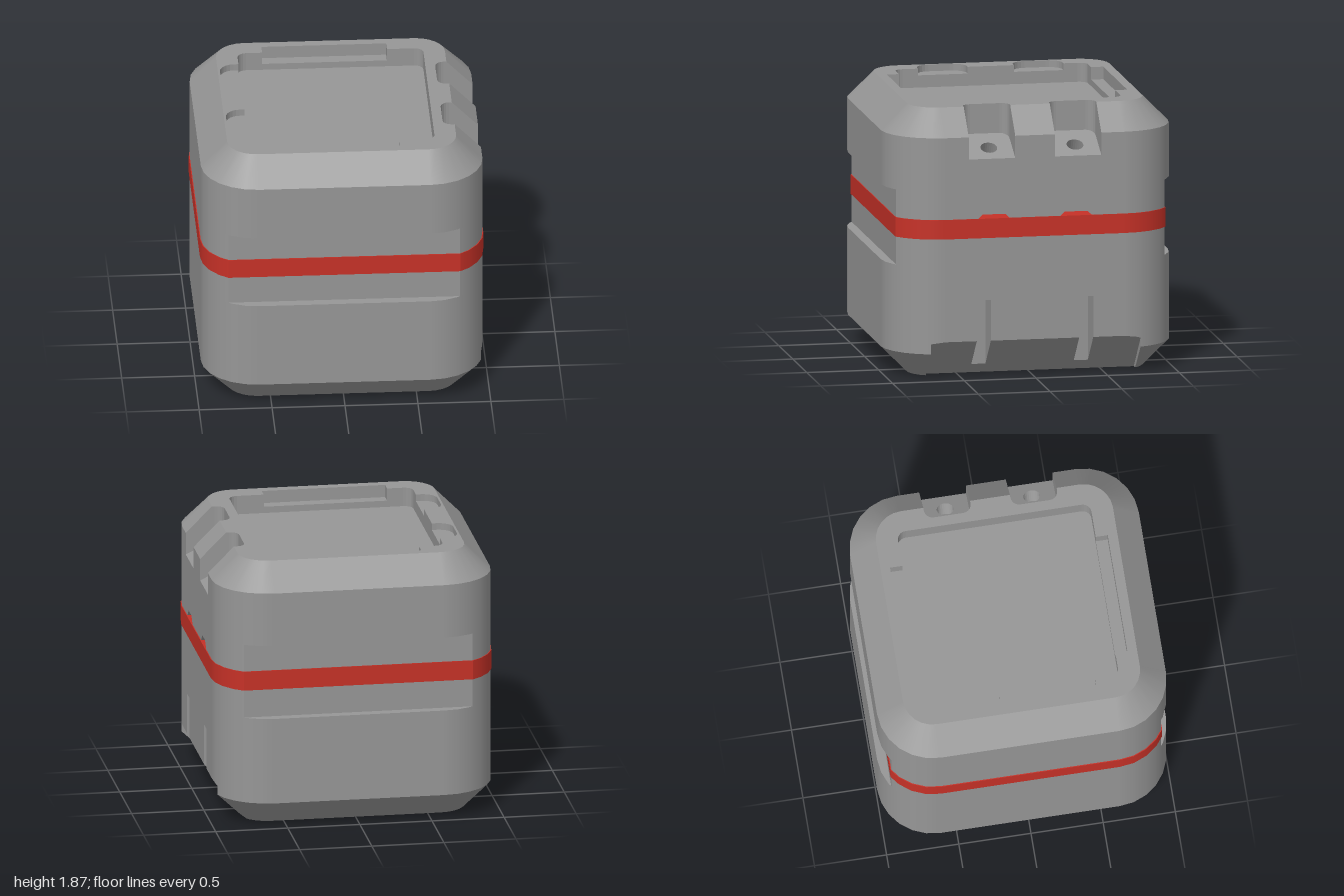
import * as THREE from 'three';

const V = (x, y, z) => new THREE.Vector3(x, y, z);
const EPS = 1e-6;

// Rounded rectangle in the ground plane, as [x, z] points.
function outline(hx, hz, r, seg = 6, cx = 0, cz = 0) {
  const pts = [];
  for (let q = 0; q < 4; q++) {
    const sx = q === 0 || q === 3 ? 1 : -1, sz = q < 2 ? 1 : -1;
    for (let i = 0; i <= seg; i++) {
      const a = (q + i / seg) * Math.PI / 2;
      pts.push([cx + sx * (hx - r) + r * Math.cos(a), cz + sz * (hz - r) + r * Math.sin(a)]);
    }
  }
  return pts;
}

// Lift an outline to a height, which may depend on x.
const ring = (pts, y) => pts.map(([x, z]) => V(x, typeof y === 'function' ? y(x) : y, z));

// Convex solid through matching rings; every face points outwards.
// core = half sizes of the corner-centre rectangle, used for smooth corner normals.
function loft(rings, core = null) {
  const all = rings.flat();
  const mid = all.reduce((s, p) => s.add(p), V(0, 0, 0)).divideScalar(all.length);
  const loops = [rings[0], rings[rings.length - 1]];
  for (let k = 0; k + 1 < rings.length; k++) {
    const a = rings[k], b = rings[k + 1];
    a.forEach((p, i) => {
      const j = (i + 1) % a.length;
      loops.push([p, a[j], b[j], b[i]]);
    });
  }
  return loops.map((loop) => {
    const v = loop.slice();
    const n = v[1].clone().sub(v[0]).cross(v[2].clone().sub(v[0])).normalize();
    if (n.dot(v[0].clone().sub(mid)) < 0) { n.negate(); v.reverse(); }
    return { v, n, w: n.dot(v[0]), core };
  });
}

const prism = (pts, y0, y1) => loft([ring(pts, y0), ring(pts, y1)]);
function box(x0, x1, y0, y1, z0, z1) {
  return prism([[x0, z0], [x1, z0], [x1, z1], [x0, z1]], y0, y1);
}

// Split a face by a plane into [outside, inside].
function split(f, plane) {
  const d = f.v.map((p) => plane.n.dot(p) - plane.w);
  if (d.every((t) => t <= EPS)) return [null, f];
  if (d.every((t) => t >= -EPS)) return [f, null];
  const out = [], inn = [];
  f.v.forEach((p, i) => {
    const j = (i + 1) % f.v.length;
    if (d[i] >= -EPS) out.push(p);
    if (d[i] <= EPS) inn.push(p);
    if ((d[i] > EPS && d[j] < -EPS) || (d[i] < -EPS && d[j] > EPS)) {
      const m = p.clone().lerp(f.v[j], d[i] / (d[i] - d[j]));
      out.push(m);
      inn.push(m);
    }
  });
  return [{ ...f, v: out }, { ...f, v: inn }];
}

// Parts of a face outside or inside a convex solid.
function cut(face, solid) {
  const outside = [];
  let rest = face;
  for (const plane of solid) {
    const [o, i] = split(rest, plane);
    if (o) outside.push(o);
    rest = i;
    if (!rest) return { outside: [face], inside: null };
  }
  return { outside, inside: rest };
}

// Convex solid with convex recesses taken out of it.
function carve(solid, tools) {
  const minus = (faces, skip) => tools.reduce(
    (fs, t) => (t === skip ? fs : fs.flatMap((f) => cut(f, t).outside)), faces);
  const faces = minus(solid, null);
  for (const t of tools) {
    const walls = t.map((f) => cut(f, solid).inside).filter(Boolean)
      .map((f) => ({ v: f.v.slice().reverse(), n: f.n.clone().negate(), core: null }));
    faces.push(...minus(walls, t));
  }
  return faces;
}

function toMesh(name, faces, color) {
  const pos = [], nor = [];
  for (const f of faces) {
    for (let i = 1; i + 1 < f.v.length; i++) {
      for (const p of [f.v[0], f.v[i], f.v[i + 1]]) {
        const n = f.n.clone();
        if (f.core && Math.abs(n.y) < 0.99) {
          const [cx, cz] = f.core, h = Math.hypot(n.x, n.z);
          const d = V(p.x - THREE.MathUtils.clamp(p.x, -cx, cx), 0, p.z - THREE.MathUtils.clamp(p.z, -cz, cz));
          d.normalize().multiplyScalar(h);
          n.set(d.x, n.y, d.z);
        }
        pos.push(p.x, p.y, p.z);
        nor.push(n.x, n.y, n.z);
      }
    }
  }
  const g = new THREE.BufferGeometry();
  g.setAttribute('position', new THREE.Float32BufferAttribute(pos, 3));
  g.setAttribute('normal', new THREE.Float32BufferAttribute(nor, 3));
  const mesh = new THREE.Mesh(g, new THREE.MeshStandardMaterial({ color }));
  mesh.name = name;
  return mesh;
}

export function createModel() {
  const core = [0.585, 0.62];
  const wide = outline(0.965, 1, 0.38), narrow = outline(0.785, 0.82, 0.2);

  // Case: rounded block with chamfered top and bottom
  const block = loft([ring(narrow, 0), ring(wide, 0.181), ring(wide, 1.686), ring(narrow, 1.867)], core);

  const tools = [
    // tray in the top, with a shallower ledge towards front and back
    prism(outline(0.637, 0.67, 0.06, 5), 1.735, 2),
    box(-0.465, 0.39, 1.78, 2, -0.755, 0.753),
    // sloped undercut at the foot of the side
    loft([-0.74, 0.722].map((z) => [V(0.64, -0.06, z), V(1.2, -0.06, z), V(1.2, 0.5, z)])),
  ];

  // Finger scoops beside the tray
  for (const z of [-0.338, 0.33]) tools.push(prism(outline(0.16, 0.173, 0.1, 6, -0.61, z), 1.82, 2.01));

  const slope = Math.atan2(0.128, 0.26);
  const floorY = (x) => 1.532 + (0.965 - x) * Math.tan(slope);
  for (const s of [-1, 1]) {
    // flat band groove across front and back
    tools.push(box(-1.1, 1.1, 0.787, 1.31, ...(s < 0 ? [-1.2, -0.935] : [0.935, 1.2])));

    // screw notch with a sloping floor
    const plan = outline(0.25, 0.162, 0.06, 5, 0.955, s * 0.3);
    tools.push(loft([ring(plan, floorY), ring(plan, 2.02)]));

    // screw hole square to that floor
    const axis = V(Math.sin(slope), Math.cos(slope), 0), side = V(Math.cos(slope), -Math.sin(slope), 0);
    const hole = [-0.1, 0.05].map((t) => Array.from({ length: 24 }, (_, i) => {
      const a = i / 24 * Math.PI * 2;
      return V(0.852, floorY(0.852), s * 0.3).addScaledVector(axis, t)
        .addScaledVector(side, 0.058 * Math.cos(a)).add(V(0, 0, 0.058 * Math.sin(a)));
    }));
    tools.push(loft(hole));

    // trapezoid notch above the band
    tools.push(loft([0.82, 1.1].map((x) => [
      V(x, 1.08, s * 0.286 - 0.147), V(x, 1.08, s * 0.286 + 0.147),
      V(x, 1.168, s * 0.286 + 0.057), V(x, 1.168, s * 0.286 - 0.057)])));

    // upright slot low on the side
    tools.push(box(0.77, 1.15, -0.1, 0.55, s * 0.357 - 0.049, s * 0.357 + 0.049));
  }

  // Band: follows the case, flat at front and back
  const rim = outline(0.971, 1.006, 0.386);
  const band = carve(loft([ring(rim, 0.982), ring(rim, 1.117)], core), [
    box(-1.1, 1.1, 0.9, 1.2, 0.941, 1.2),
    box(-1.1, 1.1, 0.9, 1.2, -1.2, -0.941),
  ]);

  const model = new THREE.Group();
  model.name = 'bandedCase';
  model.add(toMesh('case', carve(block, tools), 0x969696), toMesh('band', band, 0xc63127));
  return model;
}
